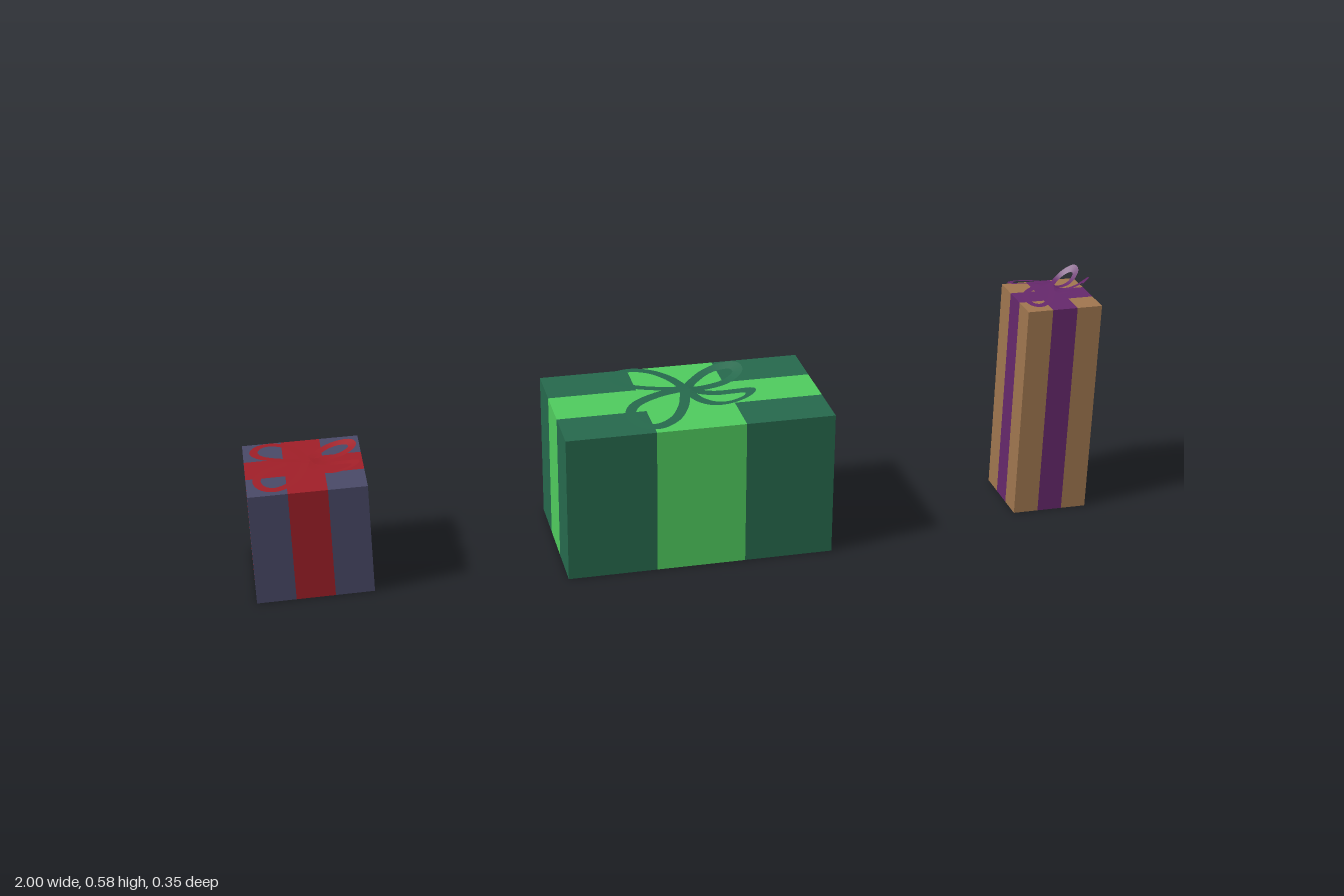
import * as THREE from 'three';

const GIFTS = [
  { name: 'cubeGift', x: -0.868, size: [0.265, 0.268, 0.265], wrap: 0x4a4a68, ribbon: 0xa01f28, bow: 0xa01f28, bowX: 0.006, bowScale: [0.77, 0.021, 0.73] },
  { name: 'wideGift', x: 0.018, size: [0.627, 0.352, 0.352], wrap: 0x26694d, ribbon: 0x4fcb5e, bow: 0x26694d, bowX: 0, bowScale: [1, 0.032, 1] },
  { name: 'tallGift', x: 0.909, size: [0.182, 0.528, 0.18], wrap: 0xa0764f, ribbon: 0x66286c, bow: 0x66286c, bowX: -0.005, bowScale: [0.53, 0.048, 0.5] },
];

// Loop outlines seen from above, as [x, z] on one side of the bow
const BIG_LOOP = [[0, 0], [-0.07, 0.018], [-0.13, 0.055], [-0.149, 0.1], [-0.132, 0.145], [-0.098, 0.158], [-0.056, 0.135], [-0.022, 0.08], [0, 0]];
const SMALL_LOOP = [[0, 0], [0.03, 0.055], [0.065, 0.088], [0.1, 0.096], [0.133, 0.083], [0.139, 0.056], [0.11, 0.032], [0.06, 0.018], [0, 0]];

// Big loops droop towards the lid, small loops dip and then lift
const bigHeight = (x, z) => 0.65 - 0.47 * Math.abs(z) / 0.17;
function smallHeight(x, z) {
  const t = Math.hypot(x, z) / 0.16;
  return 0.65 - 1.5 * t + 1.85 * t * t;
}

function mesh(name, geometry, color, side = THREE.FrontSide) {
  const m = new THREE.Mesh(geometry, new THREE.MeshStandardMaterial({ color, side }));
  m.name = name;
  return m;
}

// Split a box into its wrapping corners and the middle-third ribbon bands
function boxPart([w, h, d], wantRibbon) {
  const g = new THREE.BoxGeometry(w, h, d, 3, 1, 3).toNonIndexed();
  const p = g.attributes.position, n = g.attributes.normal;
  const pos = [], nor = [];
  for (let i = 0; i < p.count; i += 3) {
    const cx = (p.getX(i) + p.getX(i + 1) + p.getX(i + 2)) / 3;
    const cz = (p.getZ(i) + p.getZ(i + 1) + p.getZ(i + 2)) / 3;
    const isRibbon = Math.abs(cx) < w / 6 || Math.abs(cz) < d / 6;
    if (isRibbon !== wantRibbon) continue;
    for (let k = i; k < i + 3; k++) {
      pos.push(p.getX(k), p.getY(k), p.getZ(k));
      nor.push(n.getX(k), n.getY(k), n.getZ(k));
    }
  }
  const out = new THREE.BufferGeometry();
  out.setAttribute('position', new THREE.Float32BufferAttribute(pos, 3));
  out.setAttribute('normal', new THREE.Float32BufferAttribute(nor, 3));
  out.translate(0, h / 2, 0);
  return out;
}

// Flat ribbon band following a loop outline
function loopGeometry(points, side, height, scale) {
  const curve = new THREE.CatmullRomCurve3(points.map(([x, z]) => new THREE.Vector3(x, 0, z * side)));
  const steps = 48, half = 0.012, pos = [], index = [];
  for (let i = 0; i <= steps; i++) {
    const c = curve.getPointAt(i / steps), t = curve.getTangentAt(i / steps);
    for (const s of [-half, half]) {
      const x = c.x - t.z * s, z = c.z + t.x * s;
      pos.push(x, height(x, z), z);
    }
    const a = i * 2;
    if (i < steps) index.push(a, a + 1, a + 2, a + 1, a + 3, a + 2);
  }
  const g = new THREE.BufferGeometry();
  g.setAttribute('position', new THREE.Float32BufferAttribute(pos, 3));
  g.setIndex(index);
  g.scale(...scale);
  g.computeVertexNormals();
  return g;
}

function createBow(color, scale) {
  const bow = new THREE.Group();
  bow.name = 'bow';
  for (const side of [1, -1]) {
    const end = side > 0 ? 'Front' : 'Back';
    bow.add(mesh('bigLoop' + end, loopGeometry(BIG_LOOP, side, bigHeight, scale), color, THREE.DoubleSide));
    bow.add(mesh('smallLoop' + end, loopGeometry(SMALL_LOOP, side, smallHeight, scale), color, THREE.DoubleSide));
  }
  return bow;
}

export function createModel() {
  const model = new THREE.Group();
  model.name = 'gifts';
  for (const gift of GIFTS) {
    const group = new THREE.Group();
    group.name = gift.name;
    group.position.x = gift.x;
    group.add(mesh('wrapping', boxPart(gift.size, false), gift.wrap));
    group.add(mesh('ribbon', boxPart(gift.size, true), gift.ribbon));
    const bow = createBow(gift.bow, gift.bowScale);
    bow.position.set(gift.bowX, gift.size[1], 0);
    group.add(bow);
    model.add(group);
  }
  return model;
}
